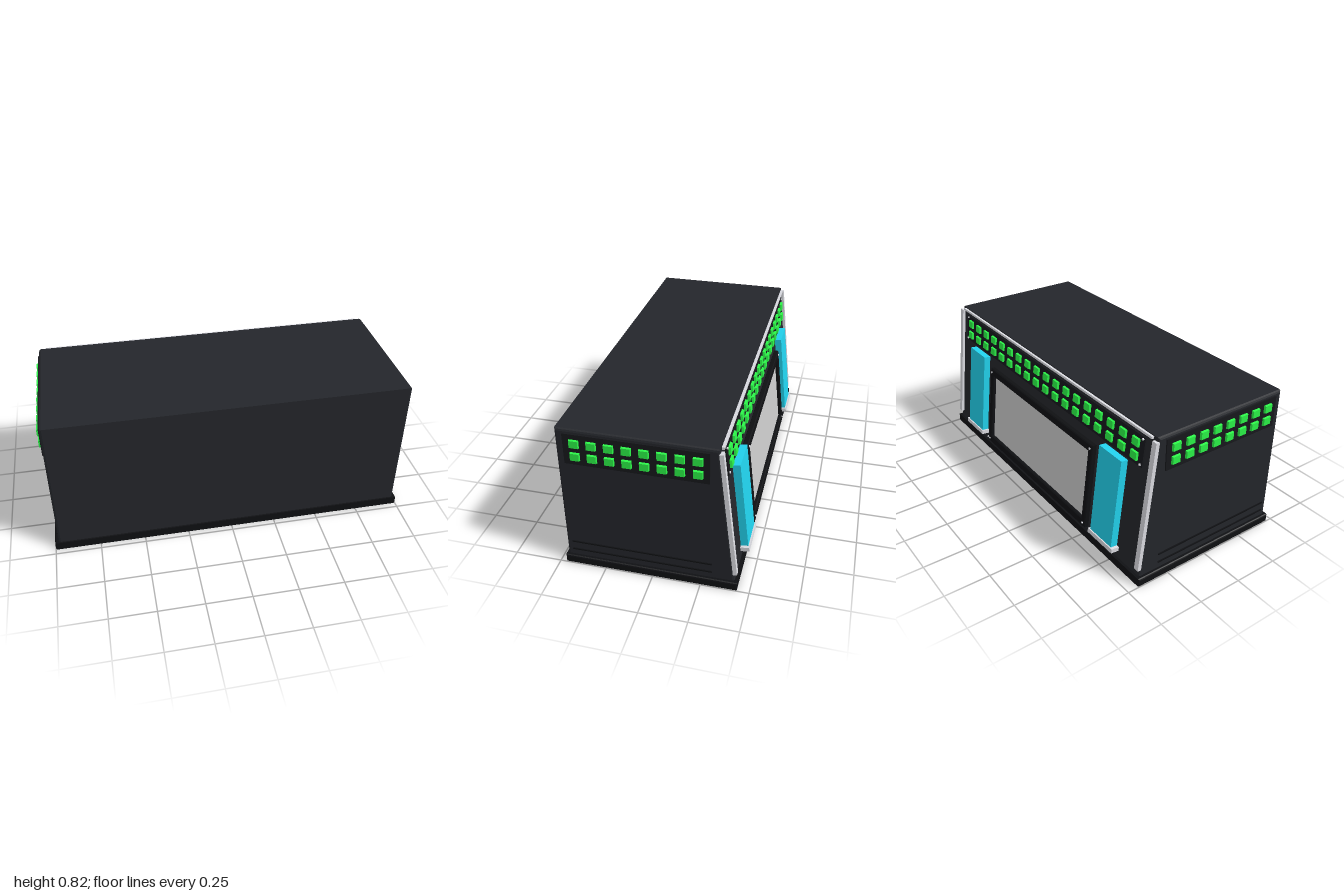
import * as THREE from 'three';

const material = (color) => new THREE.MeshStandardMaterial({ color, flatShading: true });

export function createModel() {
  const model = new THREE.Group();
  model.name = 'console';
  const shell = material(0x24262b), dark = material(0x17181c), black = material(0x0f1013);
  const metal = material(0xdcdde3), cyan = material(0x22d3ee), green = material(0x2bf548);
  const grey = material(0xcccccc);

  function add(parent, name, geometry, mat, x = 0, y = 0, z = 0) {
    const mesh = new THREE.Mesh(geometry, mat);
    mesh.name = name;
    mesh.position.set(x, y, z);
    parent.add(mesh);
    return mesh;
  }

  // Chamfered solid: a side profile of [z, y] points swept along x
  function sweep(points, width, bevel) {
    const shape = new THREE.Shape(points.map(([z, y]) => new THREE.Vector2(-z, y)));
    const depth = width - 2 * bevel;
    const g = new THREE.ExtrudeGeometry(shape, {
      depth, bevelEnabled: true, bevelSegments: 2,
      bevelSize: bevel, bevelThickness: bevel, bevelOffset: -bevel,
    });
    return g.translate(0, 0, -depth / 2).rotateY(Math.PI / 2);
  }

  // Box standing on a panel whose outward direction is local -z
  function plate(parent, name, mat, x, y, w, h, from, to) {
    const g = new THREE.BoxGeometry(w, h, to - from);
    return add(parent, name, g, mat, x, y, -(from + to) / 2);
  }

  // Light button that narrows towards its outer face
  function buttonGeometry(w, h, d) {
    const g = new THREE.BoxGeometry(w, h, d);
    const p = g.attributes.position;
    for (let i = 0; i < p.count; i++) {
      if (p.getZ(i) < 0) p.setXY(i, p.getX(i) * 0.86, p.getY(i) * 0.86);
    }
    g.computeVertexNormals();
    return g;
  }

  function lightGrid(parent, columns, x0, x1, rows, size, from, to) {
    const g = buttonGeometry(size[0], size[1], to - from);
    for (const y of rows) {
      for (let i = 0; i < columns; i++) {
        add(parent, 'lightButton', g, green, x0 + (x1 - x0) * i / (columns - 1), y, -(from + to) / 2);
      }
    }
  }

  function screw(parent, x, y, from, r = 0.006) {
    const g = new THREE.CylinderGeometry(r, r, 0.006, 8).rotateX(Math.PI / 2);
    add(parent, 'screw', g, metal, x, y, -from - 0.003);
  }

  // Base and sloped-back housing
  add(model, 'base', sweep([[-0.437, 0], [-0.437, 0.047], [0.468, 0.047], [0.468, 0]].reverse(), 2, 0.008), black);
  add(model, 'housing', sweep([[0.46, 0.03], [-0.424, 0.03], [-0.335, 0.823], [0.46, 0.823]], 1.96, 0.012), shell);

  // Side light panels and trim strips
  for (const s of [1, -1]) {
    const side = new THREE.Group();
    side.name = s > 0 ? 'leftSide' : 'rightSide';
    side.rotation.y = -s * Math.PI / 2;
    model.add(side);
    plate(side, 'sideLightPanel', dark, s * 0.064, 0.718, 0.712, 0.17, 0.97, 0.987);
    lightGrid(side, 8, s * 0.362, s * -0.237, [0.754, 0.682], [0.052, 0.046], 0.98, 0.999);
    for (const y of [0.135, 0.085]) {
      plate(side, 'sideTrimStrip', black, s * 0.062, y, 0.735, 0.007, 0.97, 0.986);
    }
  }

  // Everything on the sloped back lives in a tilted group
  const back = new THREE.Group();
  back.name = 'backPanel';
  back.position.set(0, 0.047, -0.422);
  back.rotation.x = 0.112;
  model.add(back);

  // Wide light panel
  plate(back, 'backLightPanel', dark, 0, 0.665, 1.8, 0.16, -0.01, 0.008);
  lightGrid(back, 18, -0.84, 0.84, [0.701, 0.629], [0.054, 0.047], 0, 0.02);
  for (const x of [-0.885, 0.885]) for (const y of [0.597, 0.733]) screw(back, x, y, 0.008);

  // Screen with a raised frame
  const frame = new THREE.Shape();
  frame.moveTo(-0.54, 0.025).lineTo(0.54, 0.025).lineTo(0.54, 0.525).lineTo(-0.54, 0.525).closePath();
  const opening = new THREE.Path();
  opening.moveTo(-0.505, 0.07).lineTo(-0.505, 0.48).lineTo(0.505, 0.48).lineTo(0.505, 0.07).closePath();
  frame.holes.push(opening);
  const frameGeometry = new THREE.ExtrudeGeometry(frame, {
    depth: 0.022, bevelEnabled: true, bevelSegments: 1, bevelSize: 0.005, bevelThickness: 0.005, bevelOffset: -0.005,
  });
  add(back, 'screenFrame', frameGeometry, black, 0, 0, -0.025);
  plate(back, 'screen', grey, 0, 0.275, 1.02, 0.42, -0.005, 0.01);
  for (const x of [-0.522, 0.522]) for (const y of [0.048, 0.503]) screw(back, x, y, 0.029);

  // Mirrored pads with their shelves, and the corner rails
  for (const s of [1, -1]) {
    plate(back, 'pad', cyan, s * 0.697, 0.315, 0.182, 0.508, -0.005, 0.04);
    plate(back, 'padShelf', metal, s * 0.7, 0.053, 0.21, 0.024, -0.005, 0.047);
    plate(back, 'cornerRail', metal, s * 0.968, 0.4, 0.03, 0.72, -0.005, 0.016);
  }

  // Top rail and the row of screws along the lower edge
  plate(back, 'topRail', metal, 0, 0.77, 1.89, 0.012, -0.004, 0.014);
  for (let i = -5; i <= 5; i++) screw(back, i * 0.15, 0.014, 0, 0.005);

  return model;
}
